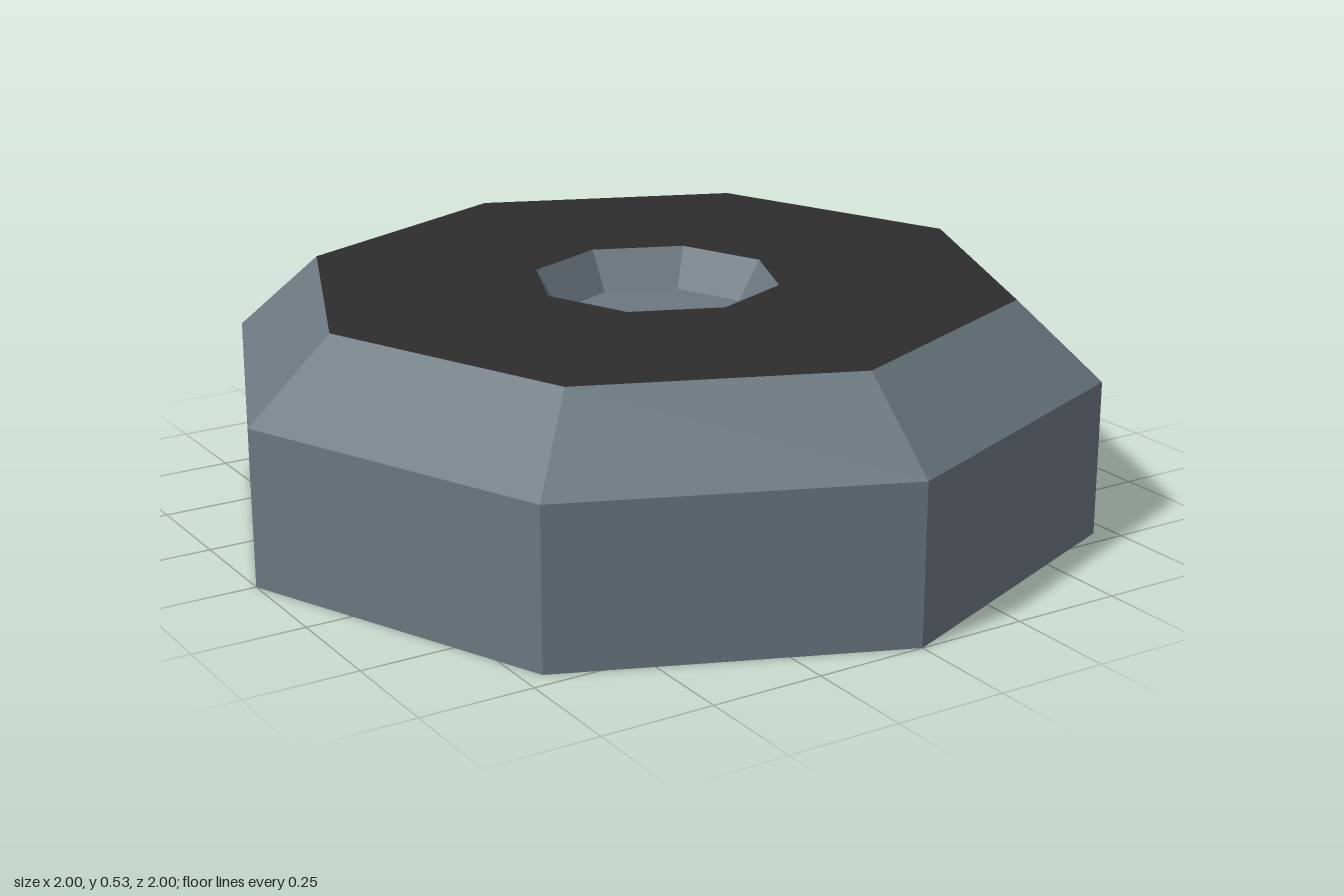
import * as THREE from 'three';

const SIDES = 8;

export function createModel() {
  const group = new THREE.Group();
  const steel = new THREE.MeshStandardMaterial({ color: 0x6b777f, flatShading: true });
  steel.name = 'blue grey steel';
  const rubber = new THREE.MeshStandardMaterial({ color: 0x2d2d2d, flatShading: true });
  rubber.name = 'dark rubber';

  const add = (name, geometry, material) => {
    const mesh = new THREE.Mesh(geometry, material);
    mesh.name = name;
    group.add(mesh);
    return mesh;
  };

  // Eight-sided band following [radius, height] points, with faceted normals
  const band = (name, profile, material) => {
    const points = profile.map(([r, y]) => new THREE.Vector2(r, y));
    const geometry = new THREE.LatheGeometry(points, SIDES).toNonIndexed();
    geometry.computeVertexNormals();
    return add(name, geometry, material);
  };

  // Flat octagon facing up or down
  const disc = (name, radius, y, up, material) => {
    const geometry = new THREE.CircleGeometry(radius, SIDES);
    geometry.rotateX(up ? -Math.PI / 2 : Math.PI / 2);
    geometry.translate(0, y, 0);
    return add(name, geometry, material);
  };

  // Outer wall and sloping shoulder
  band('outerWall', [[1, 0], [1, 0.355]], steel);
  band('shoulder', [[1, 0.355], [0.807, 0.53]], steel);

  // Dark top face around the central recess
  band('topFace', [[0.807, 0.53], [0.28, 0.53]], rubber);

  // Central recess
  band('recessWall', [[0.28, 0.53], [0.225, 0.44]], steel);
  disc('recessFloor', 0.225, 0.44, true, steel);

  // Underside
  disc('underside', 1, 0, false, rubber);

  return group;
}
